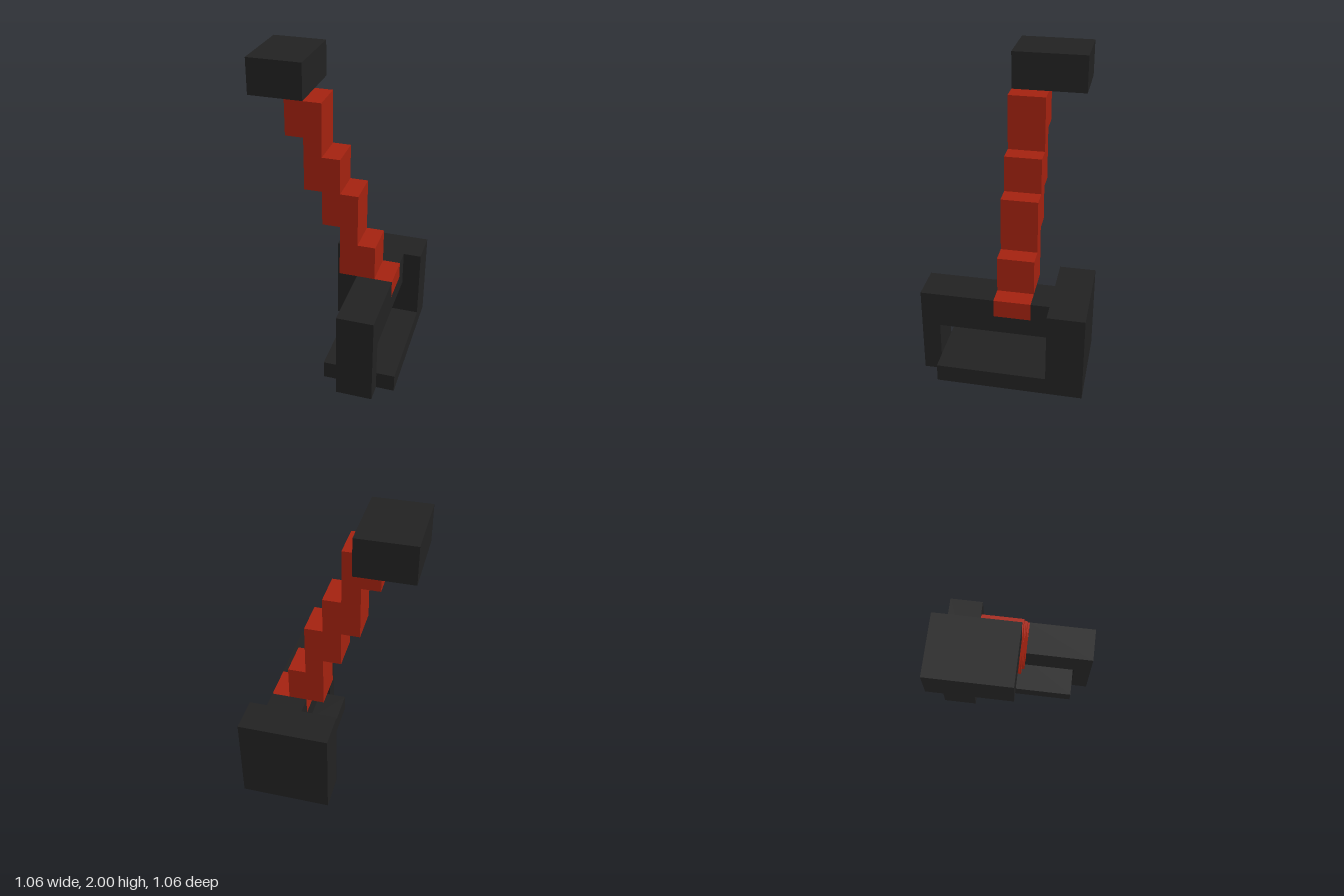
import * as THREE from 'three';

// One block unit; the model is 17 blocks tall.
const U = 2 / 17;

const black = new THREE.MeshStandardMaterial({ color: 0x222222 });
black.name = 'charcoal black';
const red = new THREE.MeshStandardMaterial({ color: 0xa52210 });
red.name = 'dark red';

// Mesh scaled from block units
function part(name, geometry, material) {
  geometry.scale(U, U, U);
  const mesh = new THREE.Mesh(geometry, material);
  mesh.name = name;
  return mesh;
}

// Box given by its two opposite corners in block units
function box(name, min, max, material) {
  const size = max.map((v, i) => v - min[i]);
  const geometry = new THREE.BoxGeometry(...size);
  geometry.translate(...max.map((v, i) => (v + min[i]) / 2));
  return part(name, geometry, material);
}

// Stepped outline given a thickness
function slab(points, depth) {
  const shape = new THREE.Shape(points.map(([x, y]) => new THREE.Vector2(x, y)));
  return new THREE.ExtrudeGeometry(shape, { depth, bevelEnabled: false });
}

export function createModel() {
  const group = new THREE.Group();
  group.name = 'steppedLever';

  // Base: back block and floor plate
  group.add(box('backBlock', [-0.5, 0, -4.5], [4.5, 5, -2.5], black));
  group.add(box('floorPlate', [0.5, 0, -2.5], [4.5, 1, 3.5], black));

  // Top bar and front post, notched where the arm sits (outline in z, y)
  const frame = slab([
    [-2.5, 3], [3.5, 3], [3.5, 0], [4.5, 0], [4.5, 5],
    [0.5, 5], [0.5, 4], [-1.5, 4], [-1.5, 5], [-2.5, 5],
  ], 2);
  frame.rotateY(-Math.PI / 2).translate(3.5, 0, 0);
  group.add(part('guardFrame', frame, black));

  // Stair-stepped arm (outline in x, y)
  const arm = slab([
    [1.5, 4], [3.5, 4], [3.5, 5], [2.5, 5], [2.5, 7], [1.5, 7], [1.5, 10],
    [0.5, 10], [0.5, 12], [-0.5, 12], [-0.5, 15], [-2.5, 15], [-2.5, 13],
    [-1.5, 13], [-1.5, 10], [-0.5, 10], [-0.5, 8], [0.5, 8], [0.5, 5], [1.5, 5],
  ], 2);
  arm.translate(0, 0, -1.5);
  group.add(part('steppedArm', arm, red));

  // Block at the top of the arm
  group.add(box('headBlock', [-4.5, 15, -3.5], [-1.5, 17, 0.5], black));

  return group;
}
